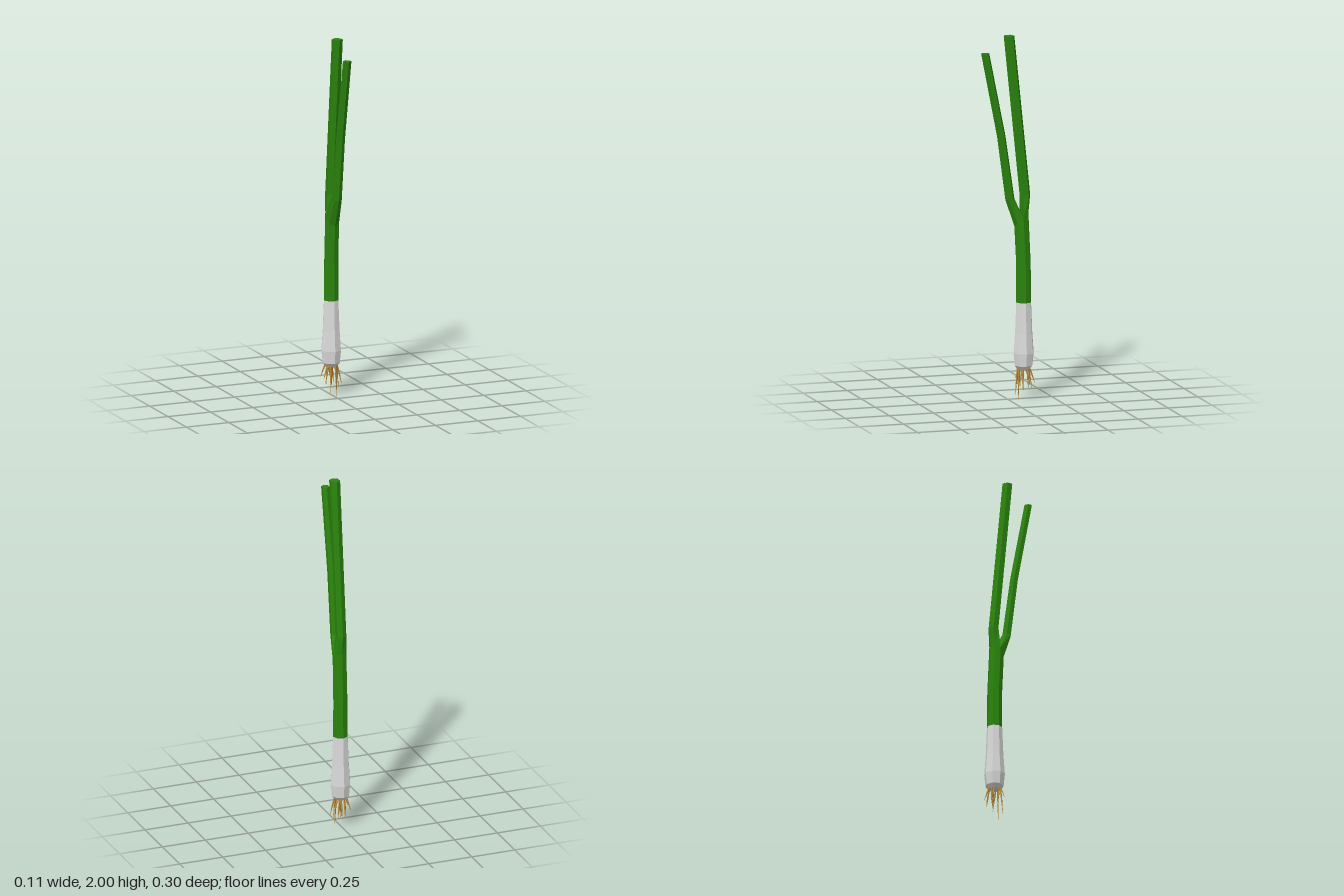
import * as THREE from 'three';

const green = new THREE.MeshStandardMaterial({ color: 0x2a850c });
green.name = 'leaf green';
const white = new THREE.MeshStandardMaterial({ color: 0xdcdcdc });
white.name = 'bulb white';
const tan = new THREE.MeshStandardMaterial({ color: 0xb88734 });
tan.name = 'root tan';

// Horizontal ring of n corners, the first one pointing at angle start (0 = +z)
function ring(n, x, y, z, r, start = 0) {
  return Array.from({ length: n }, (_, i) => {
    const a = start + (i / n) * Math.PI * 2;
    return new THREE.Vector3(x + Math.sin(a) * r, y, z + Math.cos(a) * r);
  });
}

// Faceted skin through rings listed from bottom to top, with optional end caps
function loft(name, rings, material, capBottom, capTop) {
  const pos = [];
  const tri = (...pts) => pts.forEach((p) => pos.push(p.x, p.y, p.z));
  const n = rings[0].length;
  for (let k = 0; k < rings.length - 1; k++) {
    const lo = rings[k], hi = rings[k + 1];
    for (let i = 0; i < n; i++) {
      const j = (i + 1) % n;
      tri(lo[i], lo[j], hi[j]);
      tri(lo[i], hi[j], hi[i]);
    }
  }
  const last = rings[rings.length - 1];
  for (let i = 1; i < n - 1; i++) {
    if (capBottom) tri(rings[0][0], rings[0][i + 1], rings[0][i]);
    if (capTop) tri(last[0], last[i], last[i + 1]);
  }
  const geometry = new THREE.BufferGeometry();
  geometry.setAttribute('position', new THREE.Float32BufferAttribute(pos, 3));
  geometry.computeVertexNormals();
  const mesh = new THREE.Mesh(geometry, material);
  mesh.name = name;
  return mesh;
}

export function createModel() {
  const model = new THREE.Group();
  model.name = 'springOnion';

  // Bulb and pale lower stem
  const bulb = [[0.162, 0.034], [0.182, 0.05], [0.25, 0.057], [0.36, 0.049], [0.53, 0.042]];
  model.add(loft('bulb', bulb.map(([y, r]) => ring(8, 0, y, -0.091, r)), white, true, false));

  // Green stem, its upper edge rising toward the back where it forks
  const fork = ring(8, 0, 1, -0.078, 0.04);
  fork.forEach((p) => { p.y += p.z > -0.077 ? -0.05 * (p.z + 0.078) / 0.04 : -0.02 * (p.z + 0.078) / 0.04; });
  model.add(loft('stem', [ring(8, 0, 0.53, -0.091, 0.042), ring(8, 0, 0.74, -0.09, 0.041), fork],
    green, false, false));

  // Two hollow-looking leaves, each starting from half of the fork ring
  const crotch = new THREE.Vector3(0, 1.01, -0.08);
  const half = (ids) => ids.map((i) => (i < 0 ? crotch : fork[i]));
  model.add(loft('frontLeaf', [
    half([0, 1, 2, -1, 6, 7]),
    ring(6, 0, 1.1, -0.013, 0.026),
    ring(6, 0, 1.45, 0.036, 0.024),
    ring(6, 0, 1.91, 0.127, 0.023),
  ], green, false, true));
  model.add(loft('backLeaf', [
    half([4, 5, 6, -1, 2, 3]),
    ring(6, 0, 1.12, -0.098, 0.03, Math.PI),
    ring(6, 0, 2, -0.008, 0.03, Math.PI),
  ], green, false, true));

  // Roots: start x, z, then tip x, y, z
  const roots = new THREE.Group();
  roots.name = 'roots';
  [
    [-0.026, -0.075, -0.055, 0.1, -0.062],
    [-0.022, -0.07, -0.042, 0.07, -0.07],
    [-0.014, -0.063, -0.02, 0.02, -0.05],
    [-0.008, -0.066, -0.004, 0.06, -0.075],
    [0.012, -0.062, 0.018, 0.0, -0.055],
    [0.02, -0.07, 0.036, 0.05, -0.078],
    [0.026, -0.08, 0.052, 0.06, -0.07],
    [0.024, -0.108, 0.042, 0.08, -0.112],
    [0.008, -0.118, 0.012, 0.085, -0.15],
    [0.012, -0.113, 0.028, 0.06, -0.128],
    [-0.012, -0.115, -0.016, 0.055, -0.122],
    [-0.024, -0.108, -0.044, 0.095, -0.132],
  ].forEach(([x, z, tx, ty, tz]) => {
    roots.add(loft('root', [
      ring(4, tx, ty, tz, 0.0008),
      ring(4, x * 0.45 + tx * 0.55, ty * 0.5 + 0.09, z * 0.5 + tz * 0.5, 0.0042),
      ring(4, x, 0.175, z, 0.006),
    ], tan, true, true));
  });
  model.add(roots);
  return model;
}
